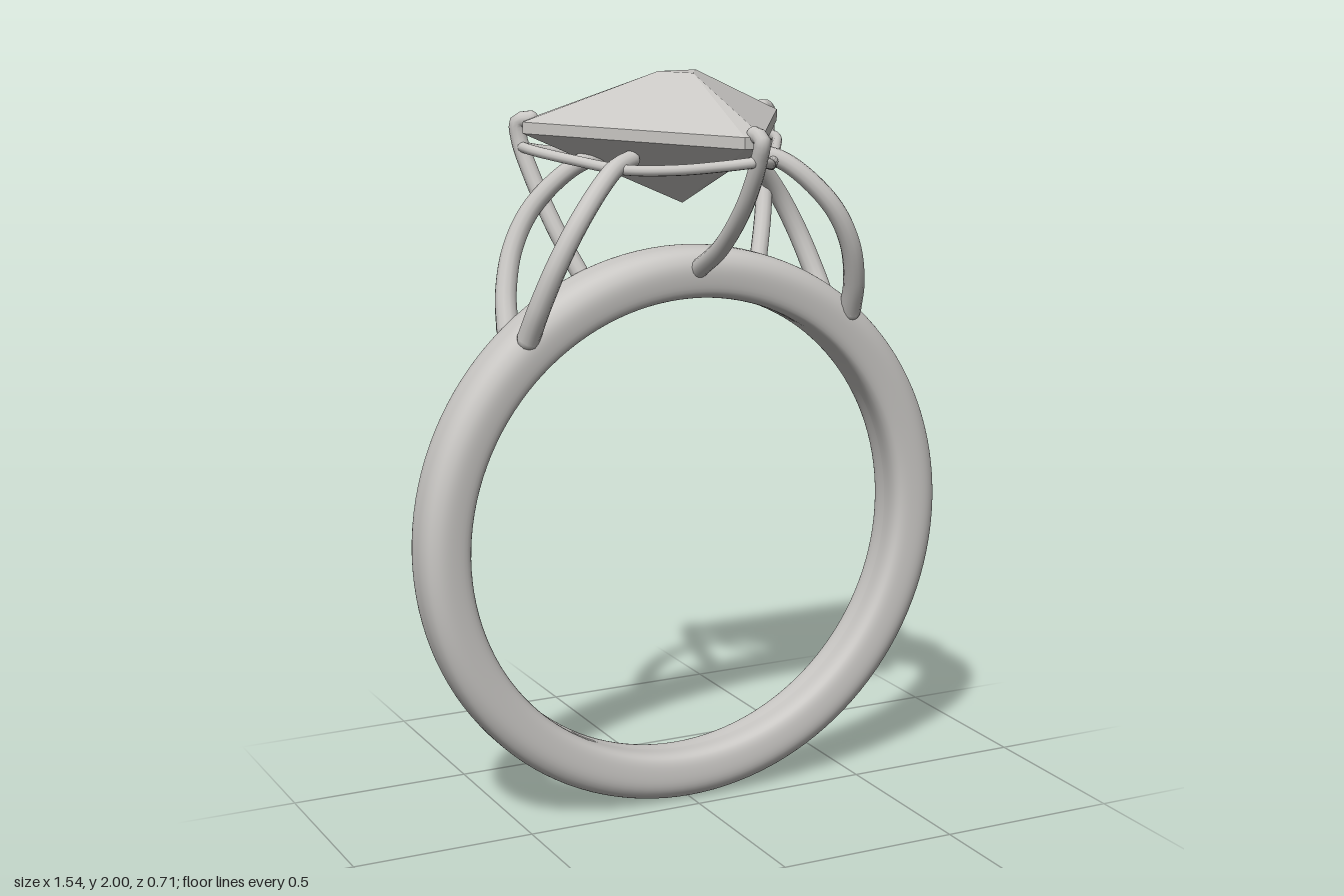
import * as THREE from 'three';
import { ConvexGeometry } from 'three/addons/geometries/ConvexGeometry.js';

const metal = new THREE.MeshStandardMaterial({ color: 0xc9c7c4 });
metal.name = 'pale grey';

const V = (p) => new THREE.Vector3(...p);
const mirror = (pts) => pts.map(([x, y, z]) => [-x, y, z]);

function addMesh(parent, name, geometry) {
  const mesh = new THREE.Mesh(geometry, metal);
  mesh.name = name;
  parent.add(mesh);
  return mesh;
}

// Round wire through points, tapering from r0 to r1, with rounded ends
function addWire(parent, name, pts, r0, r1 = r0) {
  const group = new THREE.Group();
  group.name = name;
  const curve = new THREE.CatmullRomCurve3(pts.map(V));
  const steps = 40, sides = 12;
  const geo = new THREE.TubeGeometry(curve, steps, 1, sides);
  const pos = geo.attributes.position;
  const v = new THREE.Vector3();
  for (let i = 0; i <= steps; i++) {
    const c = curve.getPointAt(i / steps);
    const r = r0 + (r1 - r0) * (i / steps);
    for (let j = 0; j <= sides; j++) {
      const k = i * (sides + 1) + j;
      v.fromBufferAttribute(pos, k).sub(c).multiplyScalar(r).add(c);
      pos.setXYZ(k, v.x, v.y, v.z);
    }
  }
  addMesh(group, name + 'Wire', geo);
  [[pts[0], r0], [pts[pts.length - 1], r1]].forEach(([p, r]) => {
    addMesh(group, name + 'End', new THREE.SphereGeometry(r, 12, 8)).position.set(...p);
  });
  parent.add(group);
}

// Band: soft-cornered section turned around z, a little wider towards the top
function buildBand(parent) {
  const section = new THREE.CatmullRomCurve3([
    [0.636, 0, 0], [0.637, -0.05, 0], [0.65, -0.071, 0], [0.69, -0.081, 0],
    [0.73, -0.079, 0], [0.757, -0.062, 0], [0.768, -0.035, 0], [0.77, 0, 0],
    [0.768, 0.035, 0], [0.757, 0.062, 0], [0.73, 0.079, 0], [0.69, 0.081, 0],
    [0.65, 0.071, 0], [0.637, 0.05, 0],
  ].map(V), true);
  const profile = section.getPoints(56).map((p) => new THREE.Vector2(p.x, p.y));
  const geo = new THREE.LatheGeometry(profile, 128);
  geo.rotateX(Math.PI / 2);
  const pos = geo.attributes.position;
  for (let i = 0; i < pos.count; i++) {
    pos.setZ(i, pos.getZ(i) * (1 + 0.1 * pos.getY(i) / 0.77));
  }
  addMesh(parent, 'band', geo).position.set(0, 0.77, -0.1);
}

// Triangular faceted stone with slightly blunted corners
function buildStone(parent) {
  const outline = [
    [-0.025, 0.305], [0.025, 0.305], [0.378, -0.28],
    [0.35, -0.33], [-0.35, -0.33], [-0.378, -0.28],
  ];
  const pts = [[-0.055, 2, -0.13], [0.055, 2, -0.13], [0, 2, -0.035], [0, 1.655, -0.1]];
  outline.forEach(([x, z]) => pts.push([x, 1.868, z], [x, 1.838, z]));
  addMesh(parent, 'stone', new ConvexGeometry(pts.map(V)));
}

export function createModel() {
  const ring = new THREE.Group();
  ring.name = 'ring';
  buildBand(ring);
  buildStone(ring);

  // Front claw, hooked over the front corner
  addWire(ring, 'frontProng', [
    [0.01, 1.49, -0.02], [0.01, 1.565, 0.11], [0.01, 1.69, 0.24], [0.01, 1.81, 0.315],
    [0.01, 1.862, 0.33], [0.01, 1.872, 0.29],
  ], 0.025, 0.021);

  const backProng = [
    [0.26, 1.46, -0.165], [0.31, 1.59, -0.23], [0.35, 1.73, -0.295], [0.37, 1.82, -0.325],
    [0.372, 1.865, -0.325], [0.345, 1.873, -0.305],
  ];
  // Loops rising from the shoulders of the band, front and back
  const shoulder = (s) => [
    [0.475, 1.34, 0.07], [0.46, 1.43, 0.115], [0.425, 1.54, 0.15], [0.37, 1.64, 0.155],
    [0.29, 1.73, 0.125], [0.235, 1.77, 0.095], [0.18, 1.785, 0.065],
  ].map(([x, y, d]) => [x, y, -0.1 + s * d]);
  const sideRail = [
    [0.01, 1.805, 0.315], [0.06, 1.795, 0.27], [0.135, 1.775, 0.145], [0.218, 1.765, 0],
    [0.3, 1.78, -0.14], [0.36, 1.795, -0.25], [0.37, 1.8, -0.315],
  ];

  // Paired parts on both sides
  [['left', (p) => p], ['right', mirror]].forEach(([side, place]) => {
    addWire(ring, side + 'BackProng', place(backProng), 0.024, 0.022);
    addWire(ring, side + 'FrontShoulder', place(shoulder(1)), 0.03, 0.024);
    addWire(ring, side + 'BackShoulder', place(shoulder(-1)), 0.03, 0.024);
    addWire(ring, side + 'SideRail', place(sideRail), 0.014);
  });

  // Wavy rail under the back edge
  addWire(ring, 'backRail', [
    [-0.37, 1.8, -0.315], [-0.3, 1.785, -0.338], [-0.18, 1.77, -0.342], [0, 1.793, -0.335],
    [0.18, 1.77, -0.342], [0.3, 1.785, -0.338], [0.37, 1.8, -0.315],
  ], 0.014);

  return ring;
}
